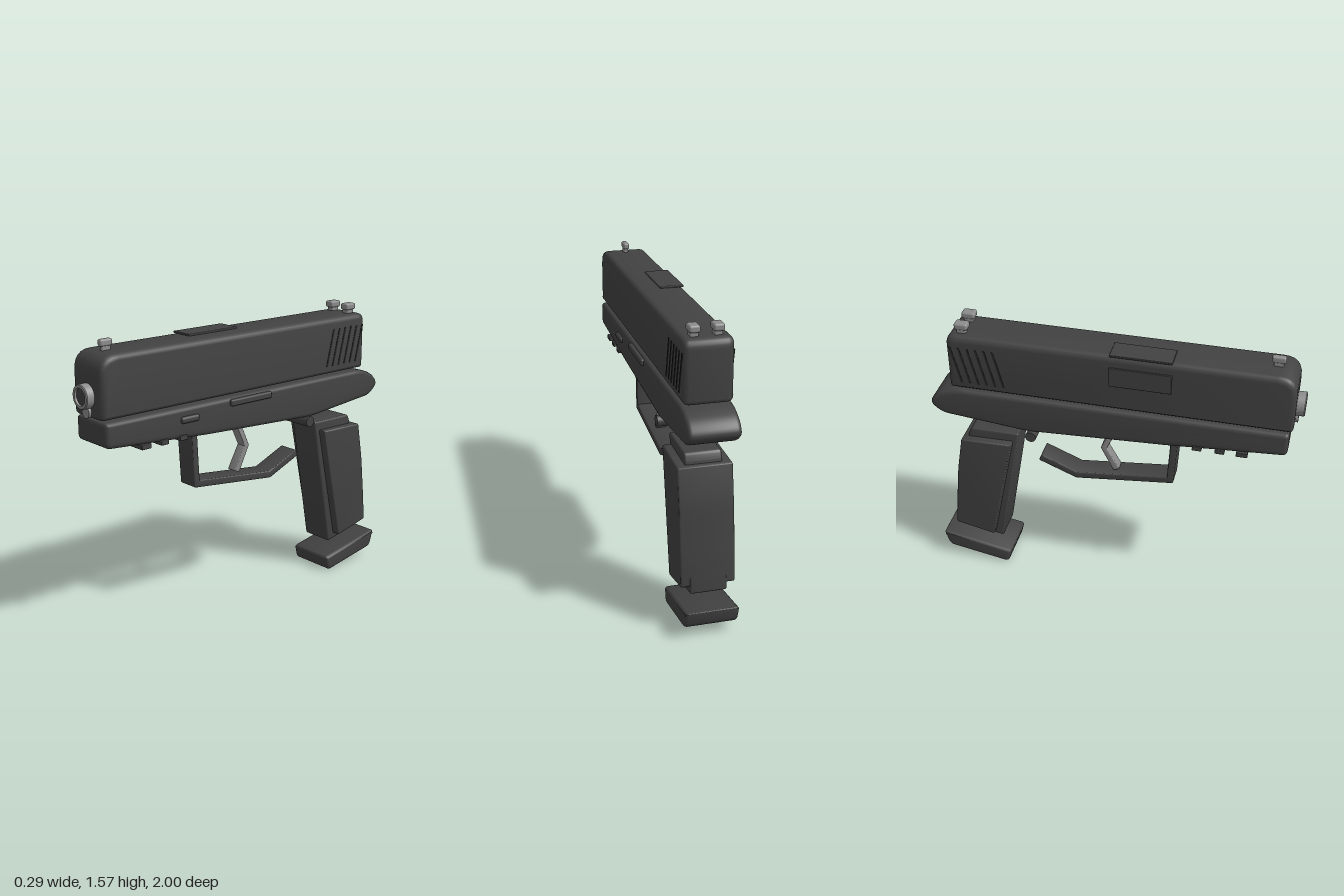
import * as THREE from 'three';
import { toCreasedNormals } from 'three/addons/utils/BufferGeometryUtils.js';
import { RoundedBoxGeometry } from 'three/addons/geometries/RoundedBoxGeometry.js';

const CX = -0.005; // centre line of the body

function material(name, color) {
  const m = new THREE.MeshStandardMaterial({ color });
  m.name = name;
  return m;
}

export function createModel() {
  const group = new THREE.Group();
  const body = material('charcoal', 0x424242);
  const metal = material('grey metal', 0x8c8c8c);
  const groove = material('groove black', 0x2a2a2a);

  function add(name, geometry, mat, x = 0, y = 0, z = 0) {
    const mesh = new THREE.Mesh(geometry, mat);
    mesh.name = name;
    mesh.position.set(x, y, z);
    group.add(mesh);
    return mesh;
  }

  // Side profile of [z, y] corners (optional third value rounds the corner), extruded across x
  function slab(name, points, width, bevel, mat, x = CX) {
    const shape = new THREE.Shape();
    const n = points.length;
    points.forEach(([z, y, r = 0], i) => {
      const p = new THREE.Vector2(z, y);
      const toward = (q) => new THREE.Vector2(q[0], q[1]).sub(p).setLength(r).add(p);
      const a = toward(points[(i + n - 1) % n]);
      const b = toward(points[(i + 1) % n]);
      if (i === 0) shape.moveTo(a.x, a.y);
      else shape.lineTo(a.x, a.y);
      if (r > 0) shape.quadraticCurveTo(p.x, p.y, b.x, b.y);
    });
    shape.closePath();
    const g = new THREE.ExtrudeGeometry(shape, {
      depth: width - 2 * bevel, bevelEnabled: bevel > 0, bevelThickness: bevel,
      bevelSize: bevel, bevelOffset: -bevel, bevelSegments: 3, curveSegments: 6,
    });
    g.translate(0, 0, bevel - width / 2);
    g.rotateY(-Math.PI / 2);
    return add(name, toCreasedNormals(g, 0.6), mat, x);
  }

  const box = (name, w, h, d, r, mat, x, y, z) =>
    add(name, new RoundedBoxGeometry(w, h, d, 3, r), mat, x, y, z);

  // Upper slide
  slab('slide', [[0.955, 1.205, 0.02], [0.955, 1.525, 0.1], [-0.868, 1.525, 0.05], [-0.868, 1.205, 0.02]],
    0.25, 0.03, body);

  // Lower frame with rounded tail
  slab('frame', [[0.94, 1.065, 0.03], [0.94, 1.195, 0.02], [-0.85, 1.195, 0.05], [-0.95, 1.155, 0.04],
    [-1.0, 1.09, 0.04], [-0.93, 1.03, 0.04], [-0.45, 0.983, 0.04], [0.3, 1.02]], 0.262, 0.022, body);

  // Ejection port plates on the top and right side
  box('portTopPlate', 0.13, 0.012, 0.325, 0.004, body, -0.063, 1.529, 0.167);
  box('portSidePlate', 0.012, 0.11, 0.325, 0.004, body, -0.134, 1.41, 0.167);

  // Slanted rear grip grooves on both sides
  for (const side of [-1, 1]) {
    for (let i = 0; i < 6; i++) {
      const z = -0.56 - i * 0.046;
      slab('slideGroove', [[z, 1.25], [z - 0.05, 1.46], [z - 0.061, 1.46], [z - 0.011, 1.25]],
        0.004, 0, groove, CX + side * 0.1255);
    }
  }

  // Barrel muzzle, bore and guide rod
  const profile = [[0.045, 0], [0.063, 0], [0.063, 0.07], [0.059, 0.075], [0.045, 0.075], [0.045, 0]];
  const muzzle = new THREE.LatheGeometry(profile.map(([r, h]) => new THREE.Vector2(r, h)), 32);
  muzzle.rotateX(Math.PI / 2);
  add('muzzle', toCreasedNormals(muzzle, 0.6), metal, CX, 1.315, 0.925);
  const bore = new THREE.CylinderGeometry(0.046, 0.046, 0.05, 32).rotateX(Math.PI / 2);
  add('bore', bore, body, CX, 1.315, 0.963);
  const rod = new THREE.CylinderGeometry(0.031, 0.031, 0.05, 24).rotateX(Math.PI / 2);
  add('guideRod', rod, metal, CX, 1.235, 0.945);

  // Sights: a waisted foot below each rounded block
  function sight(name, x, z, width) {
    box(name, width, 0.036, 0.072, 0.011, metal, x, 1.562, z);
    box(name + 'Foot', width * 0.75, 0.04, 0.05, 0.006, metal, x, 1.538, z);
  }
  sight('frontSight', CX, 0.842, 0.034);
  for (const side of [-1, 1]) sight('rearSight', CX + side * 0.059, -0.793, 0.055);

  // Controls on the left side
  box('slideCatch', 0.03, 0.036, 0.288, 0.01, body, 0.127, 1.168, 0.016);
  box('takedownLever', 0.03, 0.036, 0.118, 0.014, body, 0.127, 1.132, 0.43);

  // Crosswise rail ribs and the rear pin
  for (const [z, depth] of [[0.71, 0.06], [0.595, 0.05], [0.475, 0.05]]) {
    box('railRib', 0.28, 0.026, depth, 0.004, body, CX, 1.04, z);
  }
  const pin = new THREE.CylinderGeometry(0.03, 0.03, 0.28, 24).rotateZ(Math.PI / 2);
  add('rearPin', pin, body, CX, 0.96, -0.427);

  // Trigger guard strip and trigger
  slab('triggerGuard', [[0.365, 1.03], [0.346, 0.722, 0.012], [-0.2, 0.66, 0.012], [-0.413, 0.748, 0.008],
    [-0.398, 0.785, 0.008], [-0.195, 0.7], [0.31, 0.757], [0.325, 1.03]], 0.12, 0.006, body);
  slab('trigger', [[0.036, 1.02], [-0.032, 0.872], [0.04, 0.742, 0.008], [0.005, 0.73, 0.008],
    [-0.066, 0.872, 0.01], [0.0, 1.02]], 0.06, 0.005, metal);

  // Grip core, wider wrap around it and the base below
  slab('gripCore', [[-0.51, 0.93, 0.01], [-0.645, 0.17, 0.01], [-0.922, 0.228, 0.01], [-0.87, 0.5],
    [-0.8, 0.89, 0.01], [-0.783, 0.93, 0.015]], 0.19, 0.01, body);
  slab('gripWrap', [[-0.545, 0.88, 0.01], [-0.685, 0.212, 0.01], [-0.908, 0.262, 0.01], [-0.897, 0.4, 0.03],
    [-0.868, 0.66, 0.04], [-0.83, 0.875, 0.01]], 0.28, 0.008, body);
  slab('gripBase', [[-0.588, 0.09, 0.02], [-0.61, 0.003, 0.025], [-0.972, 0.068, 0.03], [-1.0, 0.166, 0.015]],
    0.28, 0.018, body);

  return group;
}
